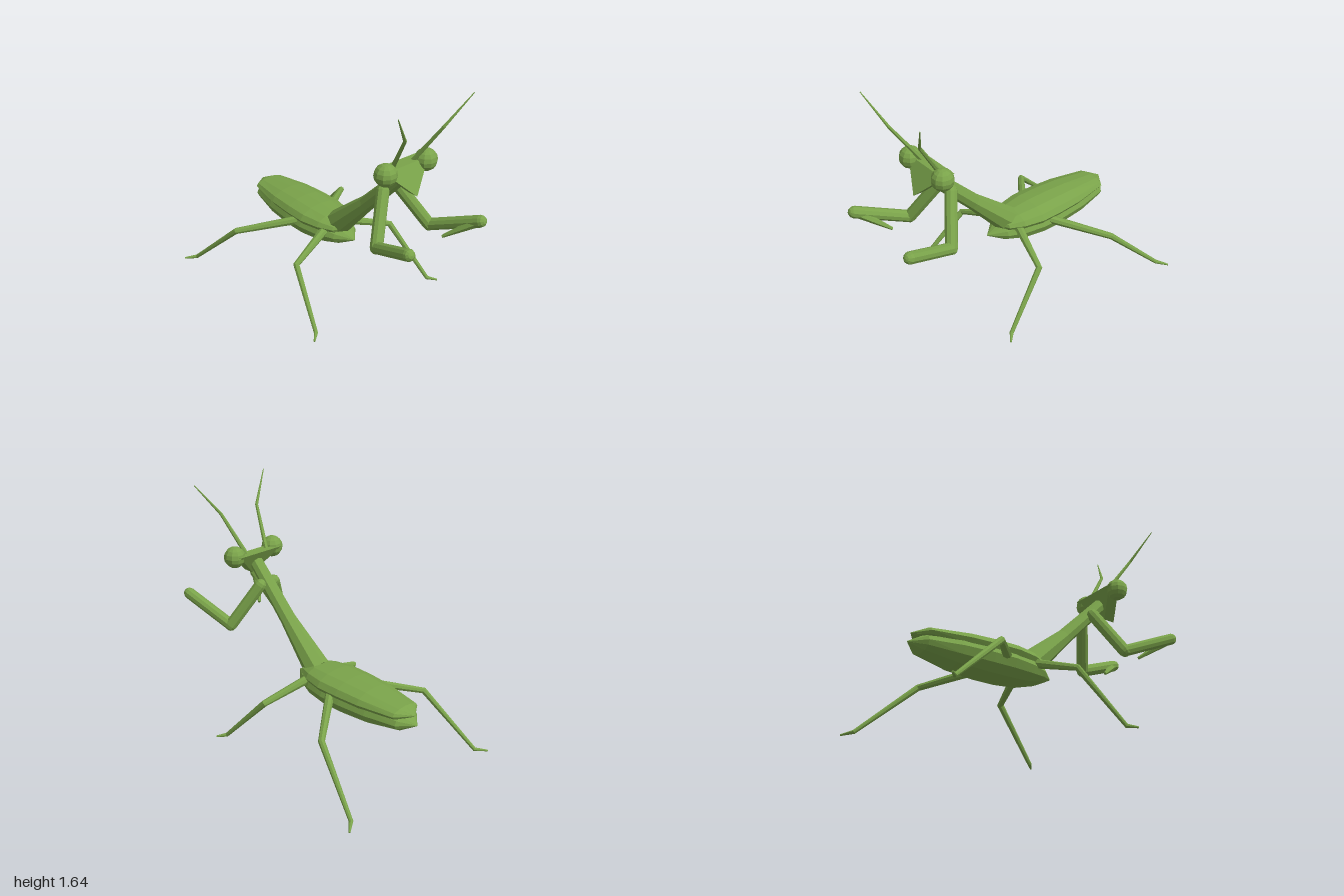
import * as THREE from 'three';

const V = (p) => new THREE.Vector3(...p);

// Faceted normals for the low-poly look
function facet(geometry) {
  const g = geometry.index ? geometry.toNonIndexed() : geometry;
  g.computeVertexNormals();
  return g;
}

// Closed tube through points; each radius is a number or [horizontal, vertical]
function loft(path, radii, sides = 8) {
  const pts = path.map(V), pos = [], index = [], n = pts.length;
  let u = null;
  pts.forEach((p, i) => {
    const t = new THREE.Vector3();
    if (i > 0) t.add(p.clone().sub(pts[i - 1]).normalize());
    if (i < n - 1) t.add(pts[i + 1].clone().sub(p).normalize());
    t.normalize();
    if (!u) u = new THREE.Vector3(0, 1, 0).cross(t);
    u.addScaledVector(t, -u.dot(t)).normalize();
    const v = t.clone().cross(u);
    const [ru, rv] = [radii[i]].flat().length === 2 ? radii[i] : [radii[i], radii[i]];
    for (let j = 0; j < sides; j++) {
      const a = (j / sides) * Math.PI * 2;
      const q = p.clone().addScaledVector(u, ru * Math.cos(a)).addScaledVector(v, rv * Math.sin(a));
      pos.push(q.x, q.y, q.z);
    }
  });
  for (let i = 0; i < n - 1; i++) {
    for (let j = 0; j < sides; j++) {
      const k = (j + 1) % sides, a = i * sides, b = a + sides;
      index.push(a + j, a + k, b + k, a + j, b + k, b + j);
    }
  }
  // End caps
  for (let j = 1; j < sides - 1; j++) {
    const e = (n - 1) * sides;
    index.push(0, j + 1, j, e, e + j, e + j + 1);
  }
  const g = new THREE.BufferGeometry();
  g.setAttribute('position', new THREE.Float32BufferAttribute(pos, 3));
  g.setIndex(index);
  return facet(g);
}

// Round-ended limb segment between two points
function capsule(from, to, radius) {
  const a = V(from), b = V(to), d = b.clone().sub(a);
  const g = new THREE.CapsuleGeometry(radius, d.length(), 3, 10);
  g.applyQuaternion(new THREE.Quaternion().setFromUnitVectors(new THREE.Vector3(0, 1, 0), d.normalize()));
  g.translate(...a.add(b).multiplyScalar(0.5).toArray());
  return facet(g);
}

export function createModel() {
  const model = new THREE.Group();
  model.name = 'mantis';
  const green = new THREE.MeshStandardMaterial({ color: 0x7aa34a });
  green.name = 'leaf green';
  const add = (name, geometry) => {
    const mesh = new THREE.Mesh(geometry, green);
    mesh.name = name;
    model.add(mesh);
  };

  // Abdomen: flattened spindle, [z, half width, half height]
  const abdomen = [[-0.92, 0.004, 0.004], [-0.83, 0.105, 0.058], [-0.61, 0.155, 0.098], [-0.4, 0.175, 0.11],
    [-0.24, 0.175, 0.108], [-0.09, 0.15, 0.095], [0.03, 0.1, 0.06], [0.135, 0.004, 0.004]];
  add('abdomen', loft(abdomen.map(([z]) => [0, 0.43, z]), abdomen.map(([, w, h]) => [w, h]), 12));

  // Folded wings lying on the abdomen
  const wings = [[-0.9, 0.004, 0.004], [-0.82, 0.115, 0.04], [-0.56, 0.165, 0.068], [-0.38, 0.178, 0.076],
    [-0.22, 0.18, 0.074], [-0.08, 0.15, 0.064], [0.02, 0.1, 0.04], [0.07, 0.004, 0.004]];
  add('wings', loft(wings.map(([z]) => [0, 0.49, z]), wings.map(([, w, h]) => [w, h]), 12));

  // Raised thorax and neck
  add('thorax', loft([[0, 0.495, -0.03], [0, 0.765, 0.257], [0, 1.1, 0.59]], [0.09, 0.054, 0.046]));

  // Head: triangular prism leaning forward towards the mouth
  const face = new THREE.Shape([new THREE.Vector2(-0.18, 1.175), new THREE.Vector2(0, 1), new THREE.Vector2(0.18, 1.175)]);
  const head = new THREE.ExtrudeGeometry(face, { depth: 0.085, bevelEnabled: false });
  const hp = head.attributes.position;
  for (let i = 0; i < hp.count; i++) hp.setZ(i, hp.getZ(i) + 0.525 + (1.175 - hp.getY(i)) * 0.57);
  add('head', facet(head));

  for (const [side, s] of [['left', 1], ['right', -1]]) {
    const m = (pts) => pts.map(([x, y, z]) => [x * s, y, z]);

    add(side + 'Eye', facet(new THREE.SphereGeometry(0.074, 10, 8).translate(s * 0.167, 1.16, 0.605)));
    add(side + 'Antenna', loft(m([[0.085, 1.16, 0.57], [0.157, 1.43, 0.75], [0.302, 1.637, 0.84]]), [0.016, 0.011, 0.003], 6));

    // Grasping foreleg with its folded claw
    const [shoulder, elbow, hand] = m([[0.06, 0.968, 0.47], [0.225, 0.677, 0.6], [0.303, 0.828, 0.96]]);
    add(side + 'ForelegUpper', capsule(shoulder, elbow, 0.042));
    add(side + 'ForelegLower', capsule(elbow, hand, 0.04));
    add(side + 'ForelegClaw', loft(m([[0.295, 0.815, 0.94], [0.175, 0.682, 0.768]]), [0.032, 0.01], 6));

    // Walking legs: hip, knee, ankle, toe
    const radii = [0.031, 0.022, 0.014, 0.006];
    add(side + 'MiddleLeg', loft(m([[0.1, 0.465, -0.055], [0.415, 0.357, 0.035], [0.5, 0.022, 0.34], [0.552, 0.008, 0.39]]), radii));
    add(side + 'HindLeg', loft(m([[0.12, 0.455, -0.28], [0.475, 0.362, -0.57], [0.585, 0.022, -0.94], [0.655, 0.008, -0.997]]), radii));
  }
  return model;
}
